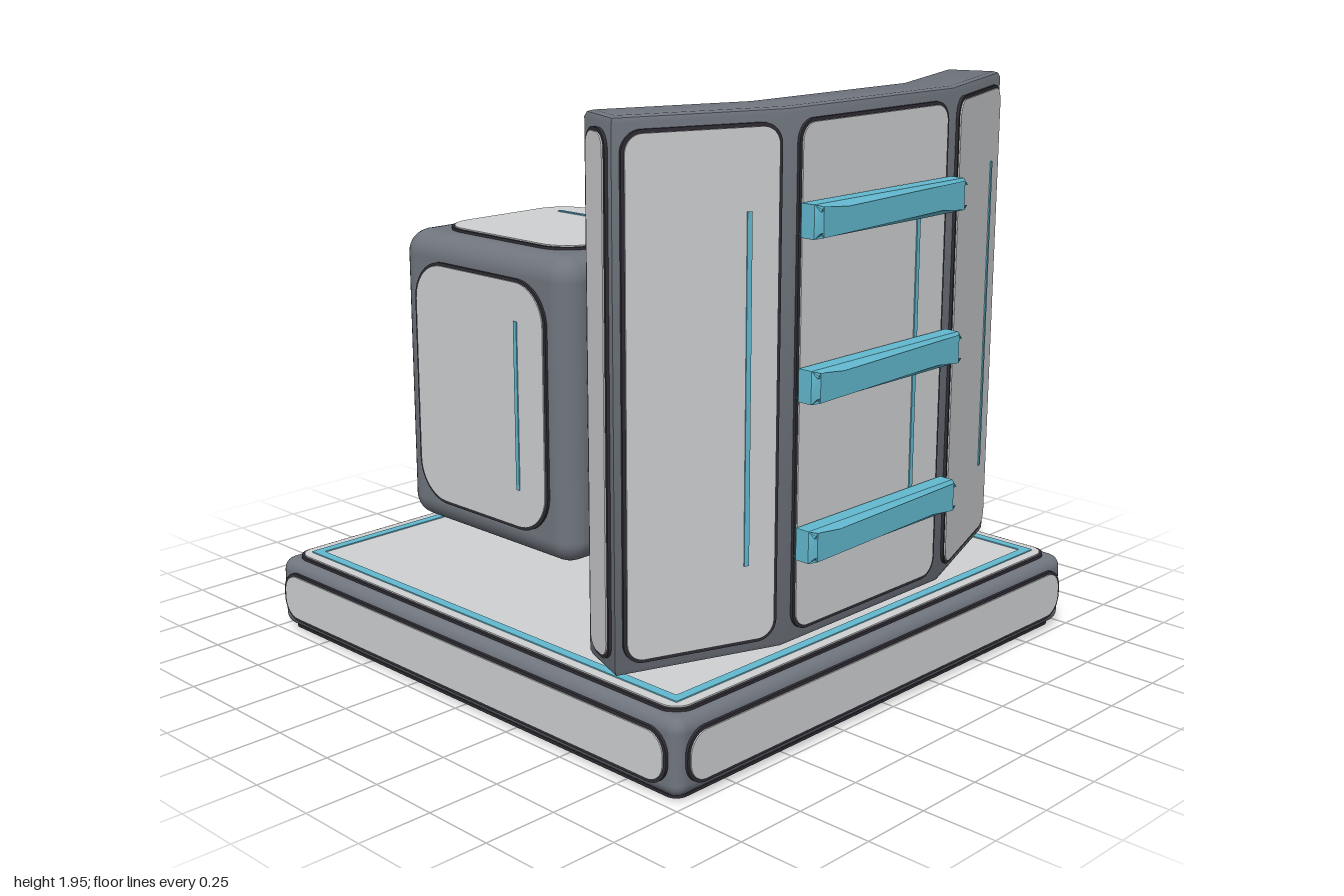
import * as THREE from 'three';
import { toCreasedNormals } from 'three/addons/utils/BufferGeometryUtils.js';
import { RoundedBoxGeometry } from 'three/addons/geometries/RoundedBoxGeometry.js';

const material = (name, color) => Object.assign(new THREE.MeshStandardMaterial({ color }), { name });
const steel = material('steel frame', 0x70757e);
const pale = material('pale panel', 0xcfd0d2);
const dark = material('dark trim', 0x2f2d34);
const teal = material('teal accent', 0x62b8cf);

function add(parent, name, geometry, mat, x = 0, y = 0, z = 0) {
  const mesh = new THREE.Mesh(geometry, mat);
  mesh.name = name;
  mesh.position.set(x, y, z);
  parent.add(mesh);
  return mesh;
}

// Centred rectangle with rounded corners
function roundRect(w, h, r) {
  const s = new THREE.Shape();
  const x = w / 2, y = h / 2;
  s.absarc(x - r, y - r, r, 0, Math.PI / 2);
  s.absarc(-x + r, y - r, r, Math.PI / 2, Math.PI);
  s.absarc(-x + r, -y + r, r, Math.PI, Math.PI * 1.5);
  s.absarc(x - r, -y + r, r, Math.PI * 1.5, Math.PI * 2);
  s.closePath();
  return s;
}

const plate = (shape, depth) => new THREE.ExtrudeGeometry(shape, { depth, bevelEnabled: false, curveSegments: 6 });

// Pale plate with a dark border and, if wanted, a teal stripe; it faces local +z
function panel(parent, name, w, h, r, position, rotation, stripe = true) {
  const g = new THREE.Group();
  g.name = name;
  add(g, 'panelBorder', plate(roundRect(w + 0.022, h + 0.022, r + 0.011), 0.0095), dark);
  add(g, 'panelFace', plate(roundRect(w, h, r), 0.007), pale, 0, 0, 0.007);
  if (stripe) add(g, 'panelStripe', new THREE.BoxGeometry(0.016, h * 0.69, 0.006), teal, w * 0.3, 0, 0.015);
  g.position.set(...position);
  g.rotation.set(...rotation);
  parent.add(g);
}

// Square base with side panels, top deck and teal border
function makeBase() {
  const g = new THREE.Group();
  g.name = 'base';
  add(g, 'baseFrame', new RoundedBoxGeometry(1.972, 0.252, 1.972, 3, 0.045), steel, 0, 0.138, 0);
  for (let i = 0; i < 4; i++) {
    const a = i * Math.PI / 2;
    panel(g, 'baseSidePanel', 1.88, 0.155, 0.065,
      [Math.sin(a) * 0.986, 0.138, Math.cos(a) * 0.986], [0, a, 0], false);
  }
  panel(g, 'deckPanel', 1.88, 1.88, 0.06, [0, 0.263, 0], [-Math.PI / 2, 0, 0]);
  panel(g, 'undersidePanel', 1.9, 1.9, 0.03, [0, 0.014, 0], [Math.PI / 2, 0, 0], false);
  const border = roundRect(1.81, 1.81, 0.004);
  border.holes.push(roundRect(1.745, 1.745, 0.004));
  add(g, 'deckBorder', plate(border, 0.006), teal, 0, 0.275, 0).rotation.x = -Math.PI / 2;
  return g;
}

// Upright three-part plate bent back at both sides
function makeShield() {
  const g = new THREE.Group();
  g.name = 'shield';
  const bottom = 0.285, height = 1.67, bevel = 0.02;
  // plan outline as [x, z]
  const right = [[0.40, 0.865], [0.925, 0.67], [0.855, 0.487], [0.365, 0.668]];
  const outline = [...right, ...right.map(([x, z]) => [-x, z]).reverse()];
  const shape = new THREE.Shape(outline.map(([x, z]) => new THREE.Vector2(x, -z)));
  const body = new THREE.ExtrudeGeometry(shape, {
    depth: height - 2 * bevel, bevelThickness: bevel, bevelSize: bevel, bevelOffset: -bevel, bevelSegments: 2,
  });
  body.rotateX(-Math.PI / 2);
  add(g, 'shieldBody', toCreasedNormals(body, 0.6), steel, 0, bottom + bevel, 0);

  // one panel on every facet of the outline
  outline.forEach(([x, z], i) => {
    const [x2, z2] = outline[(i + 1) % outline.length];
    const dx = x2 - x, dz = z2 - z, length = Math.hypot(dx, dz);
    const isEnd = length < 0.3;
    const margin = length > 0.6 ? 0.1 : isEnd ? 0.075 : 0.07;
    panel(g, isEnd ? 'shieldEndPanel' : 'shieldPanel', length - margin, 1.57, isEnd ? 0.045 : 0.055,
      [(x + x2) / 2, 1.12, (z + z2) / 2], [0, Math.atan2(-dz, dx), 0], !isEnd);
  });

  // horizontal rungs across the middle of the front
  const rung = new THREE.ExtrudeGeometry(roundRect(0.73, 0.104, 0.001), {
    depth: 0.05, bevelThickness: 0.02, bevelSize: 0.02, bevelOffset: -0.02, bevelSegments: 1, curveSegments: 1,
  });
  const rungGeometry = toCreasedNormals(rung, 0.3);
  for (const y of [0.62, 1.122, 1.622]) add(g, 'rung', rungGeometry, teal, 0, y, 0.887);
  return g;
}

// Rounded block behind, panelled on all its open sides
function makeBlock() {
  const g = new THREE.Group();
  g.name = 'rearBlock';
  const w = 0.82, h = 1.085, d = 0.89, inset = 0.21;
  add(g, 'blockBody', new RoundedBoxGeometry(w, h, d, 4, 0.085), steel);
  for (const s of [1, -1]) {
    panel(g, 'blockSidePanel', d - inset, h - inset, 0.14, [s * w / 2, 0, 0], [0, s * Math.PI / 2, 0]);
    panel(g, s > 0 ? 'blockFrontPanel' : 'blockBackPanel', w - inset, h - inset, 0.13,
      [0, 0, s * d / 2], [0, s > 0 ? 0 : Math.PI, 0], s > 0);
  }
  panel(g, 'blockTopPanel', w - inset, d - inset, 0.13, [0, h / 2, 0], [-Math.PI / 2, 0, 0]);
  g.position.set(0, 0.829, -0.54);
  return g;
}

export function createModel() {
  const model = new THREE.Group();
  model.name = 'shieldedConsole';
  model.add(makeBase(), makeShield(), makeBlock());
  // beam joining the block to the shield
  add(model, 'beam', new RoundedBoxGeometry(0.255, 0.38, 0.78, 1, 0.012), dark, 0, 0.968, 0.29);
  return model;
}
